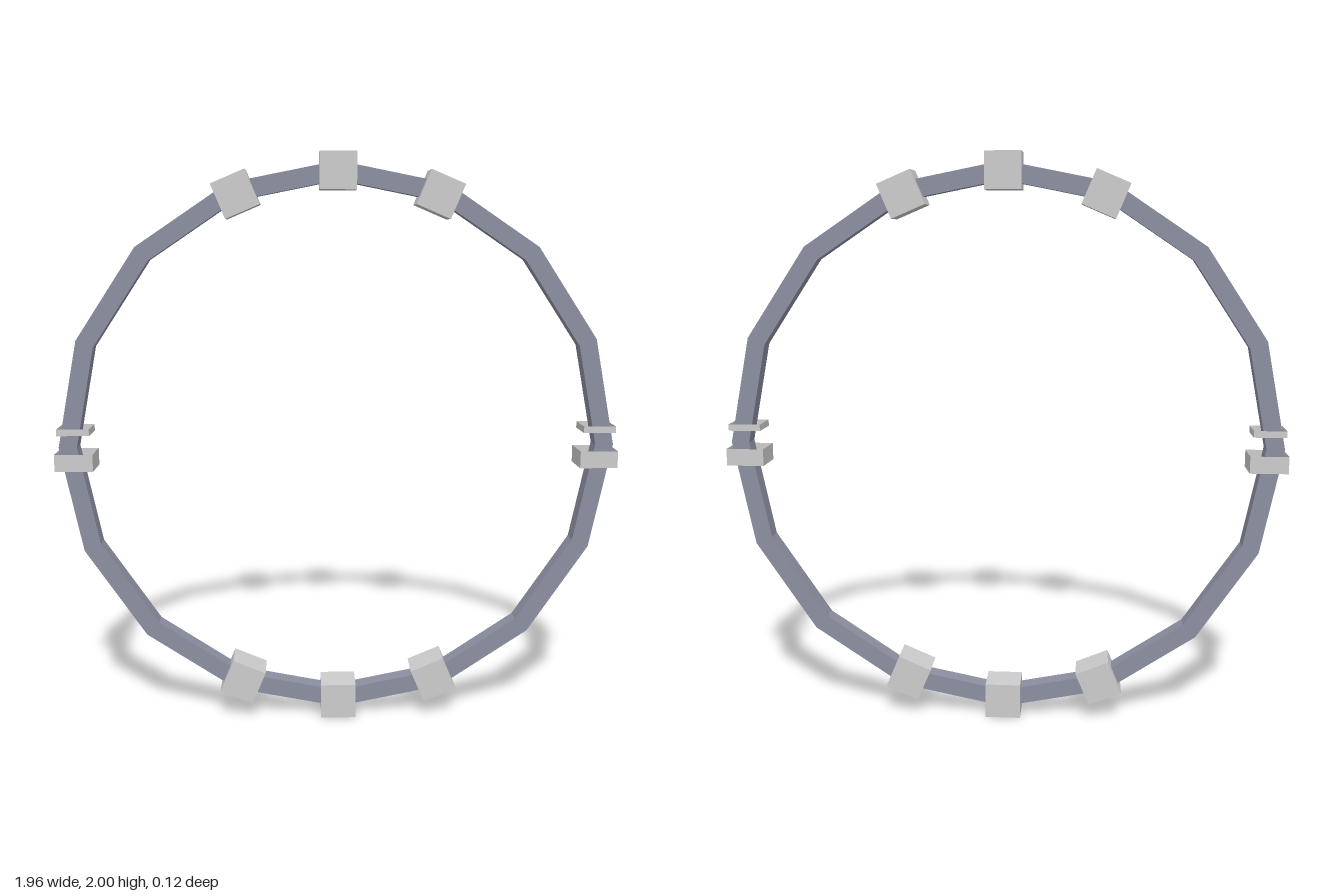
import * as THREE from 'three';

export function createModel() {
  const model = new THREE.Group();
  const steel = new THREE.MeshStandardMaterial({ color: 0x8b8fa0 });
  steel.name = 'blue grey steel';
  const pale = new THREE.MeshStandardMaterial({ color: 0xcccccc, side: THREE.DoubleSide });
  pale.name = 'pale grey';

  const add = (name, geometry, material, x, y, turn = 0) => {
    const mesh = new THREE.Mesh(geometry, material);
    mesh.name = name;
    mesh.position.set(x, y, 0);
    mesh.rotation.z = turn;
    model.add(mesh);
  };

  // Sixteen-sided hoop with a square section
  const polygon = (r) => Array.from({ length: 16 }, (_, i) => {
    const a = (i * Math.PI) / 8;
    return new THREE.Vector2(r * Math.cos(a), r * Math.sin(a));
  });
  const outline = new THREE.Shape(polygon(0.97));
  outline.holes.push(new THREE.Path(polygon(0.907)));
  const hoop = new THREE.ExtrudeGeometry(outline, { depth: 0.062, bevelEnabled: false });
  hoop.translate(0, 0, -0.031);
  add('hoop', hoop, steel, 0, 1);

  // Three cubes at the top and three at the bottom
  const cube = new THREE.BoxGeometry(0.125, 0.125, 0.125);
  for (const v of [1, -1]) {
    add('middleBlock', cube, pale, 0, 1 + v * 0.9375);
    for (const h of [1, -1]) {
      add('sideBlock', cube, pale, h * 0.344, 1 + v * 0.86, -h * v * 0.4);
    }
  }

  // Square sleeve, open above and below
  const sleeve = (width, height, depth) => {
    const g = new THREE.CylinderGeometry(Math.SQRT1_2, Math.SQRT1_2, height, 4, 1, true);
    g.rotateY(Math.PI / 4);
    g.scale(width, 1, depth);
    const flat = g.toNonIndexed();
    flat.computeVertexNormals();
    return flat;
  };
  const collar = sleeve(0.132, 0.06, 0.124);
  const thinBand = sleeve(0.112, 0.023, 0.112);
  for (const h of [1, -1]) {
    add('collar', collar, pale, h * 0.915, 0.951);
    add('thinBand', thinBand, pale, h * 0.915, 1.057);
  }
  return model;
}
